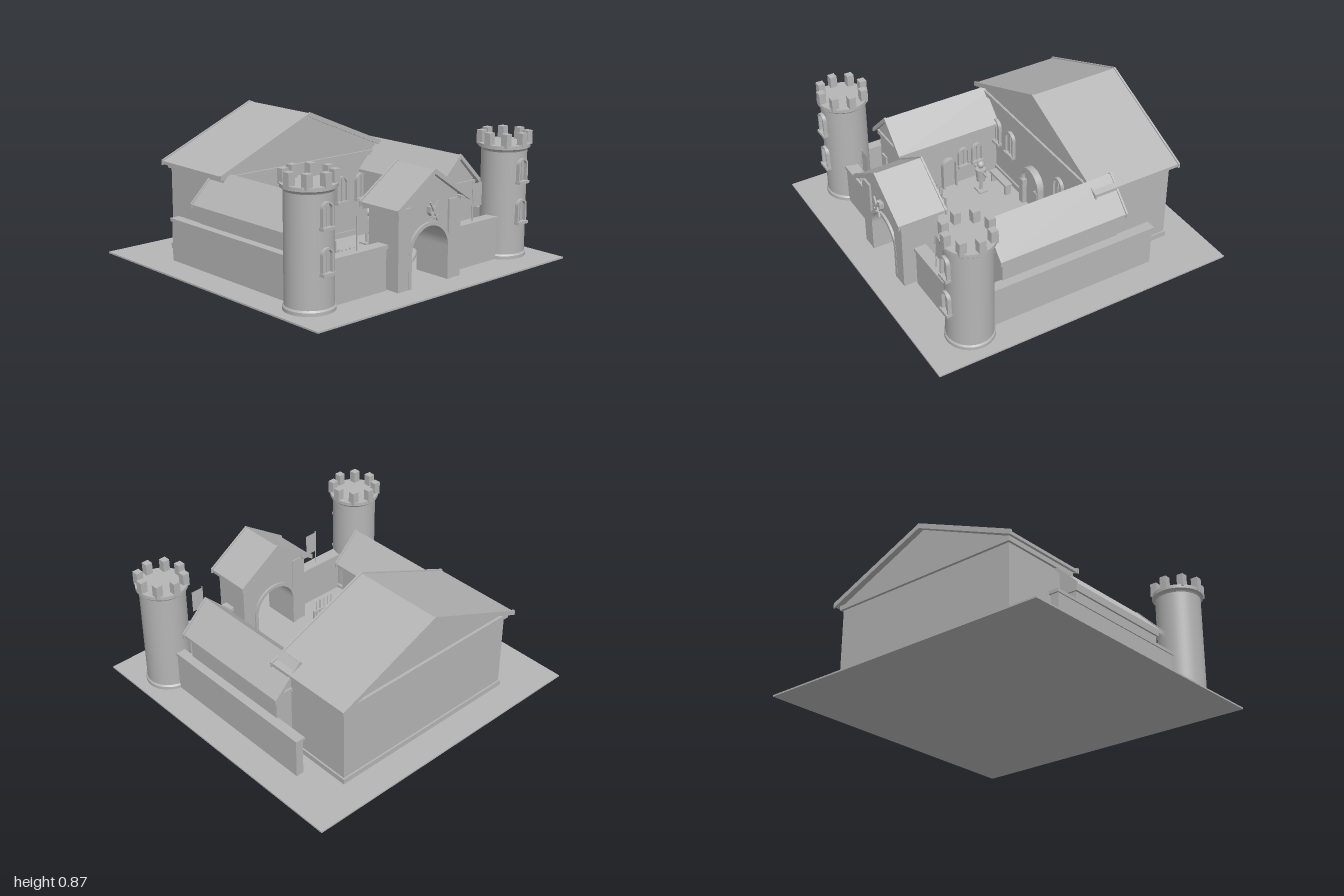
import * as THREE from 'three';

export function createModel() {
  const root = new THREE.Group();
  root.name = 'castle';
  const stone = new THREE.MeshStandardMaterial({ color: 0xb5b5b5 });
  stone.name = 'stone grey';
  const cloth = stone.clone();
  cloth.name = 'cloth grey';
  cloth.side = THREE.DoubleSide;

  const add = (parent, name, geo, x = 0, y = 0, z = 0, mat = stone) => {
    const m = new THREE.Mesh(geo, mat);
    m.name = name;
    m.position.set(x, y, z);
    parent.add(m);
    return m;
  };
  const group = (parent, name, x = 0, y = 0, z = 0) => {
    const g = new THREE.Group();
    g.name = name;
    g.position.set(x, y, z);
    parent.add(g);
    return g;
  };
  // box given by its extents
  const box = (p, name, x0, x1, y0, y1, z0, z1) =>
    add(p, name, new THREE.BoxGeometry(x1 - x0, y1 - y0, z1 - z0), (x0 + x1) / 2, (y0 + y1) / 2, (z0 + z1) / 2);
  const rod = (p, name, r, h, x, y, z) => add(p, name, new THREE.CylinderGeometry(r, r, h, 10), x, y, z);
  const poly = (pts) => new THREE.Shape(pts.map(([x, y]) => new THREE.Vector2(x, y)));
  const extrude = (shape, depth) =>
    new THREE.ExtrudeGeometry(shape, { depth, bevelEnabled: false, curveSegments: 20 });

  // round-headed outline standing on y = 0
  const archOutline = (path, r, h) => {
    path.moveTo(-r, 0);
    path.lineTo(r, 0);
    path.lineTo(r, h - r);
    path.absarc(0, h - r, r, 0, Math.PI, false);
    path.lineTo(-r, 0);
    return path;
  };
  // inverted-U band around an arch, open at the foot
  const archBand = (r, h, t, depth) => {
    const s = new THREE.Shape();
    s.moveTo(r, 0);
    s.lineTo(r + t, 0);
    s.lineTo(r + t, h - r);
    s.absarc(0, h - r, r + t, 0, Math.PI, false);
    s.lineTo(-r - t, 0);
    s.lineTo(-r, 0);
    s.lineTo(-r, h - r);
    s.absarc(0, h - r, r, Math.PI, 0, true);
    s.lineTo(r, 0);
    return extrude(s, depth);
  };
  // arched window facing +z
  const archWindow = (p, x, y, z, r, h, depth) => {
    const g = group(p, 'archWindow', x, y, z);
    add(g, 'windowFrame', archBand(r, h, 0.012, depth));
    add(g, 'windowPane', extrude(archOutline(new THREE.Shape(), r, h), depth * 0.35));
    box(g, 'mullion', -0.004, 0.004, 0, h, 0, depth * 0.7);
    box(g, 'windowSill', -r - 0.016, r + 0.016, -0.014, 0.004, 0, depth + 0.01);
    return g;
  };
  // gabled building: solid pentagon body under a chevron roof
  const gabled = (p, o) => {
    const { half, eave, ridge, t, body, z0, z1, b0, b1 } = o;
    const k = (ridge - eave) / half, apex = ridge - t;
    const roof = poly([[-half, eave - t], [0, apex], [half, eave - t], [half, eave], [0, ridge], [-half, eave]]);
    add(p, 'roof', extrude(roof, z1 - z0), 0, 0, z0);
    const shoulder = apex - k * body;
    if (o.gate) {
      const s = poly([[-body, 0], [body, 0], [body, shoulder], [0, apex], [-body, shoulder]]);
      s.holes.push(archOutline(new THREE.Path(), o.gate[0], o.gate[1]));
      s.holes[0].curves.forEach((c) => c);
      const notch = new THREE.Shape();
      notch.moveTo(-body, 0);
      notch.lineTo(-o.gate[0], 0);
      notch.lineTo(-o.gate[0], o.gate[1] - o.gate[0]);
      notch.absarc(0, o.gate[1] - o.gate[0], o.gate[0], Math.PI, 0, true);
      notch.lineTo(o.gate[0], 0);
      [[body, 0], [body, shoulder], [0, apex], [-body, shoulder]].forEach(([x, y]) => notch.lineTo(x, y));
      add(p, 'walls', extrude(notch, b1 - b0), 0, 0, b0);
    } else {
      const s = poly([[-body, 0], [body, 0], [body, shoulder], [0, apex], [-body, shoulder]]);
      add(p, 'walls', extrude(s, b1 - b0), 0, 0, b0);
    }
    // raking trim along both gable ends
    const e = 0.006;
    const trim = poly([[-half - e, eave - t - e], [0, apex - e], [half + e, eave - t - e],
      [half + e, eave + e], [0, ridge + e], [-half - e, eave + e]]);
    for (const z of [z0 - 0.002, z1 - 0.01]) add(p, 'gableTrim', extrude(trim, 0.012), 0, 0, z);
  };

  box(root, 'ground', -1, 1, 0, 0.01, -0.98, 0.98);

  // great hall
  const hall = group(root, 'greatHall');
  gabled(hall, { half: 0.69, eave: 0.567, ridge: 0.861, t: 0.02, body: 0.65, z0: -0.82, z1: -0.22, b0: -0.78, b1: -0.25 });
  box(hall, 'hallPlinth', -0.66, 0.66, 0, 0.045, -0.79, -0.24);
  box(hall, 'hallCornice', -0.665, 0.665, 0.525, 0.555, -0.797, -0.235);
  for (const x of [-0.45, -0.28, 0.28, 0.45]) archWindow(hall, x, 0.25, -0.25, 0.036, 0.155, 0.022);
  add(hall, 'hallDoor', extrude(archOutline(new THREE.Shape(), 0.085, 0.28), 0.018), 0, 0.01, -0.25);
  add(hall, 'hallDoorFrame', archBand(0.085, 0.28, 0.022, 0.045), 0, 0.01, -0.25);
  for (const s of [-1, 1]) box(hall, 'doorPost', s * 0.083 - 0.02, s * 0.083 + 0.02, 0, 0.19, -0.25, -0.2);

  // side wings: the left one stands a little higher
  for (const s of [-1, 1]) {
    const wing = group(root, s > 0 ? 'leftWing' : 'rightWing', s * 0.617);
    const eave = s > 0 ? 0.44 : 0.39;
    gabled(wing, { half: 0.178, eave, ridge: eave + 0.182, t: 0.02, body: 0.145, z0: -0.38, z1: 0.47, b0: -0.34, b1: 0.44 });
    box(wing, 'wingCornice', -0.157, 0.157, eave - 0.028, eave, -0.35, 0.452);
    box(wing, 'gableDoor', -0.115, -0.055, 0, 0.23, 0.44, 0.452);
    const side = group(wing, 'courtyardFace', -s * 0.145);
    side.rotation.y = -s * Math.PI / 2;
    const z = s > 0 ? 0.23 : 0.11;
    add(side, 'wingDoor', extrude(archOutline(new THREE.Shape(), 0.04, 0.22), 0.012), s * z, 0, 0);
    add(side, 'wingDoorFrame', archBand(0.04, 0.22, 0.012, 0.035), s * z, 0, 0);
    for (const w of [-0.1, 0.0]) archWindow(side, s * w, 0.14, 0, 0.028, 0.12, 0.02);
  }

  // curtain walls with capping
  for (const s of [-1, 1]) {
    const w = group(root, s > 0 ? 'leftWall' : 'rightWall');
    const span = (name, a, b, y0, y1, z0, z1) => box(w, name, Math.min(s * a, s * b), Math.max(s * a, s * b), y0, y1, z0, z1);
    span('sideWall', 0.76, 0.81, 0, 0.26, -0.56, 0.56);
    span('sideWallCap', 0.753, 0.817, 0.255, 0.275, -0.57, 0.56);
    span('frontWall', 0.27, 0.68, 0, 0.26, 0.67, 0.73);
    span('frontWallCap', 0.263, 0.68, 0.255, 0.278, 0.66, 0.738);
    // banner on a pole
    rod(w, 'bannerPole', 0.004, 0.25, s * 0.47, 0.39, 0.703);
    add(w, 'banner', new THREE.PlaneGeometry(0.08, 0.145), s * 0.47 + 0.04, 0.435, 0.703, cloth);
  }

  // corner towers
  const profile = [[0, 0], [0.147, 0], [0.147, 0.03], [0.139, 0.04], [0.139, 0.672], [0.144, 0.68],
    [0.158, 0.69], [0.158, 0.712], [0, 0.712]];
  for (const s of [-1, 1]) {
    const tower = group(root, s > 0 ? 'leftTower' : 'rightTower', s * 0.785, 0, 0.667);
    // each profile band is its own surface, so edges stay sharp
    for (let i = 1; i < profile.length; i++)
      add(tower, 'towerShaft', new THREE.LatheGeometry([profile[i - 1], profile[i]].map(([x, y]) => new THREE.Vector2(x, y)), 48));
    for (let i = 0; i < 8; i++) {
      const a = i * Math.PI / 4;
      add(tower, 'merlon', new THREE.BoxGeometry(0.044, 0.085, 0.044), Math.cos(a) * 0.137, 0.742, Math.sin(a) * 0.137);
    }
    for (const y of [0.24, 0.49]) archWindow(tower, 0, y, 0.115, 0.028, 0.13, 0.042);
  }

  // gatehouse
  const gate = group(root, 'gatehouse');
  gabled(gate, { half: 0.285, eave: 0.492, ridge: 0.686, t: 0.02, body: 0.23, z0: 0.53, z1: 0.84, b0: 0.575, b1: 0.795, gate: [0.147, 0.355] });
  add(gate, 'gateArchBand', archBand(0.147, 0.355, 0.022, 0.25), 0, 0, 0.56);
  for (const s of [-1, 1]) {
    box(gate, 'gatePier', s * 0.204 - 0.049, s * 0.204 + 0.049, 0, 0.485, 0.57, 0.808);
    box(gate, 'eaveBeam', s * 0.25 - 0.02, s * 0.25 + 0.02, 0.478, 0.495, 0.55, 0.825);
  }
  // shield and crossed swords
  const emblem = group(gate, 'emblem', 0, 0.445, 0.8);
  add(emblem, 'shield', extrude(poly([[-0.024, 0.025], [-0.024, -0.01], [0, -0.038], [0.024, -0.01], [0.024, 0.025]]), 0.03));
  for (const s of [-1, 1]) {
    const sword = group(emblem, 'crossedSword', 0, 0, 0.036);
    sword.rotation.z = s * 0.5;
    box(sword, 'blade', -0.005, 0.005, -0.062, 0.065, -0.005, 0.005);
    box(sword, 'crossguard', -0.016, 0.016, -0.04, -0.033, -0.006, 0.006);
  }

  // courtyard training dummies
  for (const s of [-1, 1]) {
    const d = group(root, 'trainingDummy', s * 0.32, 0, 0.045 * -1);
    rod(d, 'dummyPost', 0.009, 0.19, 0, 0.1, 0);
    box(d, 'dummyBase', -0.04, 0.04, 0.01, 0.02, -0.03, 0.03);
    add(d, 'dummyTorso', new THREE.CylinderGeometry(0.034, 0.028, 0.09, 16), 0, 0.135, 0);
    box(d, 'dummyArms', -0.077, 0.077, 0.158, 0.17, -0.006, 0.006);
    add(d, 'dummyHead', new THREE.SphereGeometry(0.025, 16, 12), 0, 0.215, 0);
  }

  // bench by the hall
  const bench = group(root, 'bench', -0.28, 0, -0.17);
  box(bench, 'benchTop', -0.1, 0.1, 0.075, 0.09, -0.025, 0.025);
  for (const x of [-0.085, 0.085]) box(bench, 'benchLeg', x - 0.008, x + 0.008, 0.01, 0.078, -0.02, 0.02);

  // weapon racks
  for (const z of [0.27, 0.43]) {
    const rack = group(root, 'weaponRack', -0.305, 0, z);
    for (const x of [-0.092, 0.092]) box(rack, 'rackPost', x - 0.006, x + 0.006, 0.01, 0.14, -0.006, 0.006);
    for (const y of [0.05, 0.125]) box(rack, 'rackRail', -0.098, 0.098, y, y + 0.01, -0.005, 0.005);
    for (let i = 0; i < 5; i++) rod(rack, 'spear', 0.004, 0.19, -0.064 + i * 0.032, 0.105, 0.009);
  }

  // easel-like target stand
  const stand = group(root, 'targetStand', 0.29, 0, 0.47);
  box(stand, 'standBar', -0.06, 0.06, 0.06, 0.07, 0.008, 0.018);
  for (const s of [-1, 1]) {
    const leg = rod(stand, 'standLeg', 0.005, 0.16, s * 0.03, 0.085, -0.008);
    leg.rotation.set(0.25, 0, s * 0.35);
  }
  return root;
}
